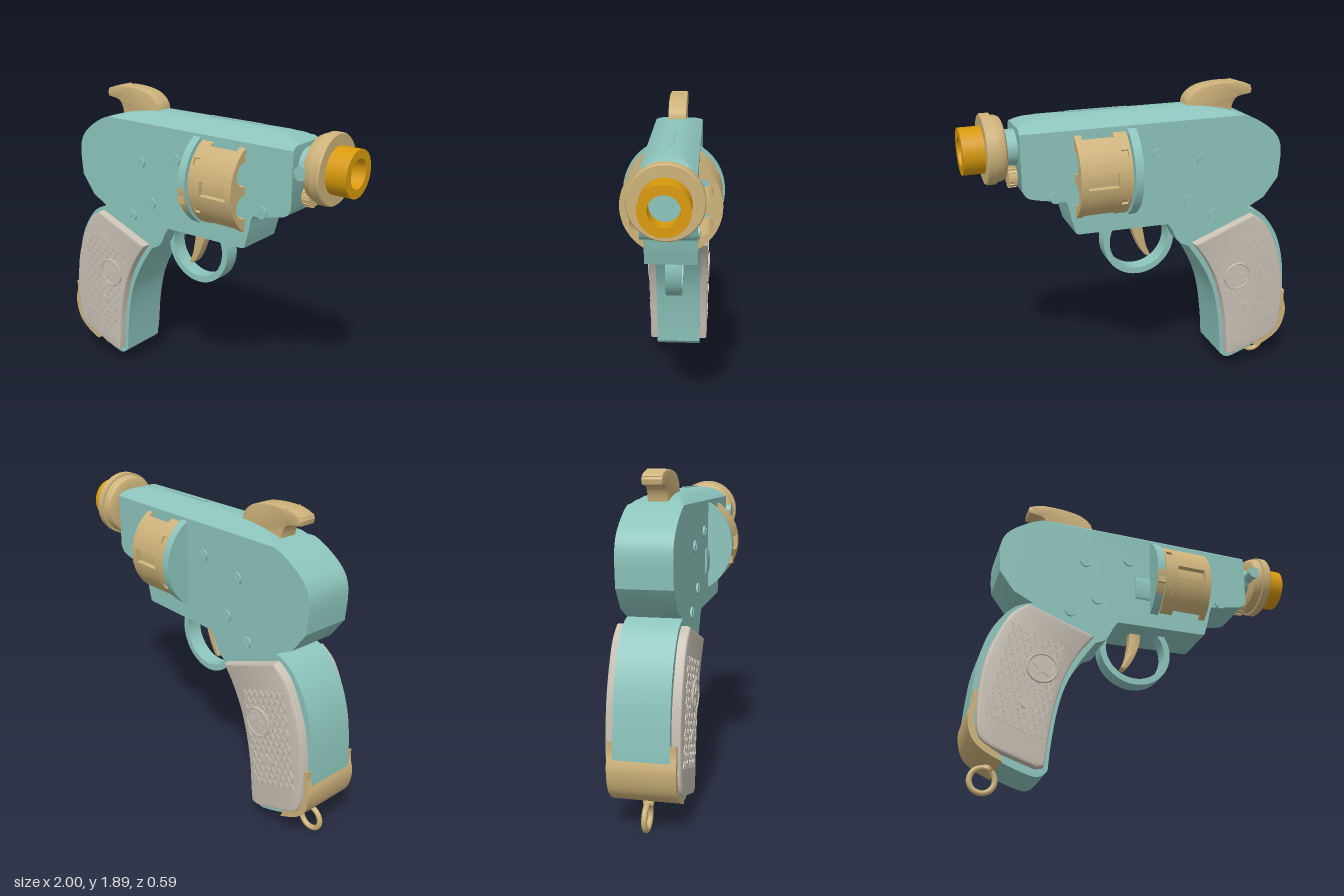
import * as THREE from 'three';
import { toCreasedNormals } from 'three/addons/utils/BufferGeometryUtils.js';

const mat = (name, color) => {
  const m = new THREE.MeshStandardMaterial({ color, side: THREE.DoubleSide });
  m.name = name;
  return m;
};

export function createModel() {
  const model = new THREE.Group();
  const teal = mat('teal', 0x8cc4bc), brass = mat('brass', 0xcdb27a);
  const orange = mat('orange', 0xd99a0c), grey = mat('warm grey', 0xc9c0b4);

  const add = (name, geo, m, x = 0, y = 0, z = 0) => {
    const mesh = new THREE.Mesh(geo, m);
    mesh.name = name;
    mesh.position.set(x, y, z);
    model.add(mesh);
    return mesh;
  };
  const v = (pts) => pts.map(([x, y]) => new THREE.Vector2(x, y));
  // outline made of runs: each run is a smooth curve, runs join with corners
  const outline = (...runs) => {
    const pts = [];
    for (const run of runs) {
      const p = v(run);
      pts.push(...(p.length > 2 ? new THREE.SplineCurve(p).getPoints(p.length * 4) : p));
    }
    return new THREE.Shape(pts.filter((p, i) => i === 0 || p.distanceTo(pts[i - 1]) > 1e-4));
  };
  // slab centred on z = 0
  const slab = (shape, half, bevel = 0, steps = 1) => {
    const g = new THREE.ExtrudeGeometry(shape, {
      depth: 2 * (half - bevel), steps, bevelEnabled: bevel > 0, bevelThickness: bevel,
      bevelSize: bevel, bevelOffset: -bevel, bevelSegments: 2, curveSegments: 32,
    });
    return g.translate(0, 0, bevel - half);
  };
  const crease = (g, a = 0.5) => toCreasedNormals(g, a);
  // round parts turned about the x axis
  const turned = (profile, seg = 48) =>
    crease(new THREE.LatheGeometry(v(profile), seg).rotateZ(-Math.PI / 2), 0.5);
  const disc = (r, h, seg = 32) => new THREE.CylinderGeometry(r, r, h, seg).rotateX(Math.PI / 2);

  // main frame, its top rounded across the width
  const body = slab(outline(
    [[-0.31, 1.77], [0.2, 1.775], [0.44, 1.775], [0.62, 1.76], [0.7, 1.73]],
    [[0.7, 1.73], [0.7, 1.39]],
    [[0.7, 1.39], [0.675, 1.35], [0.62, 1.33], [0.49, 1.305], [0.45, 1.29], [0.425, 1.19], [0.4, 1.1]],
    [[0.38, 1.095], [-0.165, 1.085]],
    [[-0.165, 1.085], [-0.19, 1.05], [-0.24, 0.96], [-0.32, 0.92]],
    [[-0.32, 0.95], [-0.68, 1.12]],
    [[-0.68, 1.12], [-0.8, 1.18]],
    [[-0.8, 1.18], [-0.89, 1.3]],
    [[-0.89, 1.3], [-0.9, 1.45], [-0.88, 1.54], [-0.82, 1.61], [-0.71, 1.68], [-0.6, 1.72], [-0.47, 1.75], [-0.32, 1.769]],
  ), 0.15, 0, 12);
  const p = body.attributes.position;
  for (let i = 0; i < p.count; i++)
    p.setY(i, Math.min(p.getY(i), 1.775 - 0.07 * (p.getZ(i) / 0.15) ** 2));
  add('frame', crease(body), teal);
  add('topRib', new THREE.BoxGeometry(0.36, 0.02, 0.02), teal, 0.22, 1.77);

  // grip core, side panels and butt strap
  add('gripCore', crease(slab(outline(
    [[-0.66, 1.13], [-0.77, 1.09], [-0.85, 1.01], [-0.92, 0.89], [-0.965, 0.73], [-0.985, 0.54], [-0.99, 0.38],
      [-0.97, 0.27], [-0.91, 0.21], [-0.8, 0.15], [-0.645, 0.095], [-0.59, 0.095], [-0.55, 0.13]],
    [[-0.55, 0.13], [-0.54, 0.27], [-0.515, 0.46], [-0.475, 0.62], [-0.4, 0.78], [-0.3, 0.93]],
    [[-0.3, 0.93], [-0.31, 1.1]],
  ), 0.15)), teal);
  add('gripPanels', crease(slab(outline(
    [[-0.325, 0.945], [-0.405, 0.835], [-0.475, 0.7], [-0.525, 0.54], [-0.555, 0.38], [-0.57, 0.22], [-0.58, 0.14]],
    [[-0.58, 0.14], [-0.62, 0.13]],
    [[-0.62, 0.13], [-0.77, 0.18], [-0.875, 0.22], [-0.935, 0.27], [-0.955, 0.38], [-0.955, 0.54], [-0.93, 0.73],
      [-0.875, 0.89], [-0.805, 1.02], [-0.715, 1.09]],
  ), 0.2, 0.015)), grey);
  add('buttStrap', crease(slab(outline(
    [[-0.982, 0.53], [-0.982, 0.47], [-1, 0.38], [-0.975, 0.27], [-0.91, 0.2], [-0.8, 0.145]],
    [[-0.8, 0.145], [-0.815, 0.185]],
    [[-0.815, 0.185], [-0.89, 0.23], [-0.945, 0.29], [-0.968, 0.38], [-0.955, 0.44], [-0.957, 0.52]],
  ), 0.183)), brass);

  // crosshatching clipped to a slanted patch of the panel
  const hatch = (u, w) => new THREE.Vector2(-0.8 + 0.3 * u - 0.11 * w, 0.95 - 0.1 * u - 0.565 * w);
  const bars = [];
  for (let k = 1; k < 14; k++) {
    const t = k / 7, lo = Math.max(0, t - 1), hi = Math.min(1, t);
    bars.push([hatch(lo, t - lo), hatch(hi, t - hi)]);
    bars.push([hatch(lo, 1 - t + lo), hatch(hi, 1 - t + hi)]);
  }
  const star = new THREE.Shape(Array.from({ length: 10 }, (_, i) => {
    const r = i % 2 ? 0.026 : 0.06, a = Math.PI / 2 + i * Math.PI / 5;
    return new THREE.Vector2(r * Math.cos(a), r * Math.sin(a));
  }));
  const screws = [[-0.377, 1.465], [-0.1, 1.525], [-0.297, 1.22], [-0.46, 1.11], [0.515, 1.335]];
  for (const s of [1, -1]) {
    for (const [a, b] of bars) {
      const d = b.clone().sub(a);
      const bar = add('gripHatching', new THREE.BoxGeometry(d.length(), 0.012, 0.012), grey,
        (a.x + b.x) / 2, (a.y + b.y) / 2, s * 0.199);
      bar.rotation.z = Math.atan2(d.y, d.x);
    }
    add('medallion', disc(0.09, 0.02), grey, -0.62, 0.695, s * 0.197);
    add('medallionRim', new THREE.TorusGeometry(0.084, 0.006, 6, 40), grey, -0.62, 0.695, s * 0.207);
    add('medallionStar', slab(star, 0.005), grey, -0.62, 0.695, s * 0.208);
    add('gripStud', disc(0.033, 0.02), grey, -0.7, 0.48, s * 0.2);
    for (const [x, y] of screws) {
      add('screw', disc(0.035, 0.02), teal, x, y, s * 0.151);
      const slot = add('screwSlot', new THREE.BoxGeometry(0.055, 0.01, 0.004), teal, x, y, s * 0.162);
      slot.rotation.z = 0.8;
    }
  }

  // revolving drum: stacked slices, some cut by flutes or notches, with six chambers
  const drum = new THREE.Group();
  drum.name = 'drum';
  drum.position.y = 1.435;
  model.add(drum);
  const R = 0.283;
  const slices = [[0.1, 0.115], [0.115, 0.155, Math.PI / 6, 0.07, 0.015], [0.155, 0.18],
    [0.18, 0.36, 0, 0.15, 0.03], [0.36, 0.4]];
  for (const [x0, x1, c = 0, h = 0.15, d = 0] of slices) {
    const pts = [];
    const polar = (a, r) => pts.push(new THREE.Vector2(r * Math.cos(a), r * Math.sin(a)));
    for (let k = 0; k < 6; k++) {
      const a = c + k * Math.PI / 3;
      if (d) polar(a - h, R);
      for (let j = 0; j <= 4; j++) polar(a - h + j * h / 2, R - d);
      for (let j = 0; j < 8; j++) {
        if (j || d) polar(a + h + (Math.PI / 3 - 2 * h) * j / 8, R);
      }
    }
    const shape = new THREE.Shape(pts);
    for (let k = 0; k < 6; k++) {
      const a = Math.PI / 6 + k * Math.PI / 3;
      shape.holes.push(new THREE.Path().absarc(0.185 * Math.cos(a), 0.185 * Math.sin(a), 0.068, 0, Math.PI * 2, true));
    }
    const g = new THREE.ExtrudeGeometry(shape, { depth: x1 - x0, bevelEnabled: false, curveSegments: 16 });
    const mesh = new THREE.Mesh(crease(g.rotateY(Math.PI / 2)), brass);
    mesh.name = 'drumSlice';
    mesh.position.x = x0;
    drum.add(mesh);
  }
  add('recoilShield', turned([[0, 0.04], [0.295, 0.04], [0.295, 0.09], [0, 0.09]].map(([r, x]) => [r, x]), 64), teal, 0, 1.435);
  add('latch', new THREE.CylinderGeometry(0.299, 0.299, 0.045, 12, 1, true, 0.05, 0.52).rotateZ(-Math.PI / 2),
    brass, 0.063, 1.435);
  add('latchPin', new THREE.BoxGeometry(0.045, 0.04, 0.03), brass, 0.065, 1.35, 0.284);
  const thumb = add('thumbPiece', new THREE.CylinderGeometry(0.075, 0.075, 0.1, 24).rotateZ(Math.PI / 2), teal, -0.005, 1.345, 0.15);
  thumb.scale.z = 0.16;

  // barrel and muzzle
  const my = 1.605;
  add('barrel', turned([[0, 0.68], [0.1, 0.68], [0.1, 0.8], [0, 0.8]]), teal, 0, my);
  add('muzzleFlare', turned([[0.1, 0.765], [0.15, 0.765], [0.172, 0.775], [0.182, 0.795], [0.184, 0.825], [0.196, 0.827],
    [0.196, 0.872], [0.19, 0.88], [0.08, 0.88]]), brass, 0, my);
  add('muzzleTip', turned([[0.13, 0.86], [0.13, 1], [0.08, 1], [0.08, 0.88]]), orange, 0, my);
  add('borePlug', turned([[0, 0.92], [0.035, 0.92], [0.035, 0.91], [0.081, 0.91], [0.081, 0.88]]), teal, 0, my);
  add('barrelPin', disc(0.04, 0.12), teal, 0.765, my, 0.12);

  // knurled ejector knob
  add('ejectorKnob', new THREE.CylinderGeometry(0.055, 0.055, 0.06, 24).rotateZ(Math.PI / 2), brass, 0.72, 1.435);
  for (let i = 0; i < 14; i++) {
    const a = i / 14 * Math.PI * 2;
    const rib = add('knobRib', new THREE.BoxGeometry(0.045, 0.014, 0.014), brass,
      0.728, 1.435 + 0.054 * Math.cos(a), 0.054 * Math.sin(a));
    rib.rotation.x = a;
  }

  // hammer with a serrated thumb rest
  add('hammer', crease(slab(outline(
    [[-0.73, 1.835], [-0.71, 1.86], [-0.63, 1.882], [-0.5, 1.882], [-0.39, 1.86], [-0.325, 1.81], [-0.31, 1.75]],
    [[-0.31, 1.75], [-0.31, 1.7]],
    [[-0.56, 1.7], [-0.6, 1.72]],
    [[-0.6, 1.72], [-0.61, 1.76], [-0.64, 1.795], [-0.725, 1.81]],
  ), 0.055, 0.006)), brass);
  for (let i = 0; i < 6; i++) {
    const tooth = add('hammerTooth', new THREE.BoxGeometry(0.01, 0.012, 0.1), brass, -0.718 + i * 0.018, 1.852 + i * 0.0055);
    tooth.rotation.z = 0.9;
  }

  // trigger and guard
  const ring = new THREE.Shape().absarc(0, 0, 0.225, 0, Math.PI * 2, false);
  ring.holes.push(new THREE.Path().absarc(0, 0, 0.187, 0, Math.PI * 2, true));
  add('triggerGuard', crease(slab(ring, 0.048)), teal, -0.02, 0.97);
  add('trigger', crease(slab(outline(
    [[0.02, 1.12], [0.015, 1.03], [-0.015, 0.94], [-0.05, 0.875], [-0.08, 0.845], [-0.1, 0.855]],
    [[-0.1, 0.855], [-0.075, 0.91], [-0.06, 0.98], [-0.05, 1.05], [-0.055, 1.12]],
  ), 0.032, 0.006)), brass);

  // lanyard ring
  add('lanyardRing', new THREE.TorusGeometry(0.069, 0.016, 12, 40), brass, -0.87, 0.087);
  add('lanyardLug', new THREE.CylinderGeometry(0.03, 0.03, 0.06, 16), brass, -0.835, 0.17).rotation.z = -0.45;
  return model;
}
